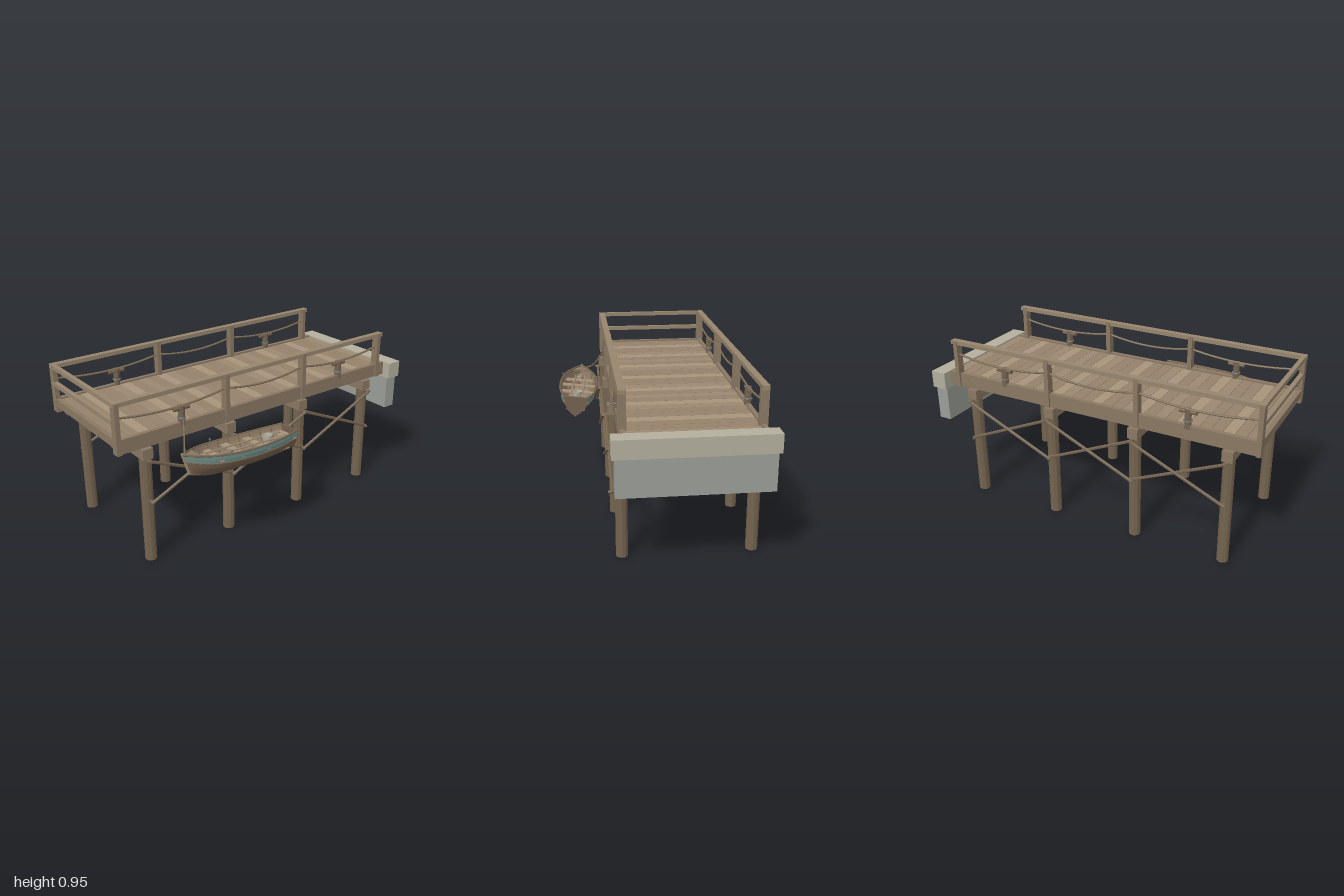
import * as THREE from 'three';

const mat = (color, extra = {}) => {
  const m = new THREE.MeshStandardMaterial({ color, flatShading: true, ...extra });
  return m;
};
const V = (x, y, z) => new THREE.Vector3(x, y, z);
const WOOD = mat(0x8a7863), DARK = mat(0x74634f), RAIL = mat(0x97856d), ROPE = mat(0x7d6c55);
const PLANKS = [0x95816a, 0x9b8770, 0xa6937a].map((c) => mat(c));
const CAP = mat(0xb3ae9c), CONCRETE = mat(0x9a9d97), IRON = mat(0x6b7376);
const TEAL = mat(0x6c8c88, { side: THREE.DoubleSide }), HULL = mat(0x74604e, { side: THREE.DoubleSide });
const INNER = mat(0x8f7a64, { side: THREE.DoubleSide });

function add(parent, name, geo, material, x = 0, y = 0, z = 0) {
  const m = new THREE.Mesh(geo, material);
  m.name = name;
  m.position.set(x, y, z);
  parent.add(m);
  return m;
}
// box given by its lower and upper limits on each axis
function box(parent, name, material, x0, x1, y0, y1, z0, z1) {
  return add(parent, name, new THREE.BoxGeometry(x1 - x0, y1 - y0, z1 - z0), material,
    (x0 + x1) / 2, (y0 + y1) / 2, (z0 + z1) / 2);
}
function rod(parent, name, material, a, b, r, sides = 6) {
  const m = add(parent, name, new THREE.CylinderGeometry(r, r, a.distanceTo(b), sides), material);
  m.position.copy(a).lerp(b, 0.5);
  m.quaternion.setFromUnitVectors(V(0, 1, 0), b.clone().sub(a).normalize());
  return m;
}
function tube(parent, name, material, pts, r, seg = 24) {
  return add(parent, name, new THREE.TubeGeometry(new THREE.CatmullRomCurve3(pts), seg, r, 6), material);
}

const MID = -0.13, HALF = 0.348;
const PILE_Z = [0.835, 0.31, -0.21, -0.735];
const POST_Z = [0.985, 0.32, -0.225, -0.84];

function buildPier(g) {
  // deck planks
  const n = 30, z0 = -0.91, step = 1.88 / n;
  for (let i = 0; i < n; i++) {
    const shade = i % 4 === 3 ? 2 : (i * 7) % 3 === 0 ? 1 : 0;
    box(g, 'deckPlank', PLANKS[shade], -0.466, 0.206, 0.704, 0.74, z0 + i * step, z0 + (i + 1) * step - 0.002);
  }
  box(g, 'frontHeader', WOOD, -0.49, 0.23, 0.704, 0.75, 0.97, 0.995);
  for (const x of [-0.4, MID, 0.135]) box(g, 'stringer', DARK, x - 0.021, x + 0.021, 0.67, 0.704, -0.91, 0.97);

  // pile caps
  for (const z of PILE_Z) box(g, 'pileCap', WOOD, -0.515, 0.255, 0.61, 0.67, z - 0.03, z + 0.03);

  // abutment at the shore end
  box(g, 'abutmentCap', CAP, -0.54, 0.28, 0.65, 0.75, -1, -0.908);
  box(g, 'abutmentWall', CONCRETE, -0.525, 0.265, 0.447, 0.65, -0.988, -0.912);

  for (const s of [-1, 1]) {
    const x = MID + s * HALF, out = (d) => x + s * d;
    const side = new THREE.Group();
    side.name = s > 0 ? 'leftSide' : 'rightSide';
    g.add(side);
    add(side, 'edgeBeam', new THREE.BoxGeometry(0.025, 0.08, 1.9), WOOD, MID + s * 0.3475, 0.71, 0.045);

    // piles with bolts that carry the braces
    for (const z of PILE_Z) {
      add(side, 'pile', new THREE.CylinderGeometry(0.033, 0.033, 0.612, 10), DARK, x, 0.306, z);
      for (const y of [0.605, 0.368]) rod(side, 'braceBolt', DARK, V(x, y, z), V(out(0.066), y, z), 0.008);
    }
    // crossed braces in each bay
    for (let i = 0; i < 3; i++) {
      const a = PILE_Z[i] + 0.01, b = PILE_Z[i + 1] - 0.01;
      rod(side, 'brace', DARK, V(out(0.045), 0.608, a), V(out(0.045), 0.366, b), 0.009);
      rod(side, 'brace', DARK, V(out(0.059), 0.366, a), V(out(0.059), 0.608, b), 0.009);
    }

    // railing posts, top rail and sagging ropes
    POST_Z.forEach((z, i) => {
      box(side, 'railPost', WOOD, x - 0.022, x + 0.022, 0.67, 0.948, z - 0.013, z + 0.013);
      if (!i) return;
      const p = POST_Z[i - 1], pts = [];
      for (let k = 0; k <= 6; k++) {
        const t = k / 6;
        pts.push(V(x, 0.866 - 0.03 * 4 * t * (1 - t), p + (z - p) * t));
      }
      tube(side, 'railRope', ROPE, pts, 0.006, 14);
    });
    box(side, 'topRail', RAIL, x - 0.018, x + 0.018, 0.927, 0.95, -0.87, 1);

    // mooring bollards
    for (const z of [0.605, -0.515]) {
      add(side, 'bollard', new THREE.CylinderGeometry(0.019, 0.019, 0.108, 8), DARK, x, 0.784, z);
      rod(side, 'bollardBar', DARK, V(x, 0.825, z - 0.048), V(x, 0.825, z + 0.048), 0.013, 8);
      add(side, 'bollardBand', new THREE.TorusGeometry(0.02, 0.005, 6, 12).rotateX(Math.PI / 2), IRON, x, 0.773, z);
    }
  }
  // front rails
  for (const y of [0.938, 0.838]) box(g, 'frontRail', RAIL, -0.493, 0.232, y - 0.012, y + 0.012, 0.974, 0.998);
}

// boat outline, t runs from stern (0) to bow (1)
const L = 0.67;
const curve = (vals) => {
  const c = new THREE.CatmullRomCurve3(vals.map((v, i) => V(i, v, 0)));
  return (t) => c.getPoint(t).y;
};
const beam = curve([0.072, 0.098, 0.112, 0.115, 0.106, 0.076, 0.004]);
const sheer = curve([0.138, 0.13, 0.126, 0.126, 0.13, 0.138, 0.15]);
const keel = curve([0.022, 0.008, 0.003, 0.002, 0.004, 0.012, 0.04]);
// cross-section: [share of half beam, share of height]
const SECTION = [[0, 0], [0.2, 0.02], [0.52, 0.2], [0.76, 0.4], [0.9, 0.62], [0.97, 0.8], [1, 1]];
const hullPoint = (t, [u, v], s, inset = 0) => {
  const k = keel(t) + inset, rake = 0.03 * (1 - v) * Math.max(0, (t - 0.7) / 0.3);
  return V(s * Math.max(0, beam(t) * u - inset * u), k + (sheer(t) - k) * v, (t - 0.5) * L - rake);
};
function hullSkin(rows, inset = 0, n = 24) {
  const pos = [], idx = [];
  for (const s of [-1, 1]) {
    const base = pos.length / 3, w = rows.length;
    for (let i = 0; i <= n; i++) for (const r of rows) pos.push(...hullPoint(i / n, r, s, inset).toArray());
    for (let i = 0; i < n; i++) for (let j = 0; j < w - 1; j++) {
      const a = base + i * w + j, b = a + w;
      idx.push(...(s > 0 ? [a, a + 1, b, b, a + 1, b + 1] : [a, b, a + 1, b, b + 1, a + 1]));
    }
  }
  const geo = new THREE.BufferGeometry();
  geo.setAttribute('position', new THREE.Float32BufferAttribute(pos, 3));
  geo.setIndex(idx);
  geo.computeVertexNormals();
  return geo;
}

function buildBoat() {
  const b = new THREE.Group();
  b.name = 'rowingBoat';
  add(b, 'lowerHull', hullSkin(SECTION.slice(0, 5)), HULL);
  add(b, 'upperHull', hullSkin(SECTION.slice(4)), TEAL);
  add(b, 'innerHull', hullSkin(SECTION, 0.006), INNER);

  // transom
  const outline = [...SECTION.map((r) => hullPoint(0, r, 1)), ...SECTION.slice(1).reverse().map((r) => hullPoint(0, r, -1))];
  const shape = new THREE.Shape(outline.map((p) => new THREE.Vector2(p.x, p.y)));
  add(b, 'transom', new THREE.ExtrudeGeometry(shape, { depth: 0.01, bevelEnabled: false }), HULL, 0, 0, -L / 2 - 0.002);

  // gunwales and rubbing strakes
  const run = (row, s, off) => Array.from({ length: 13 }, (_, i) => {
    const p = hullPoint(i / 12, row, s);
    p.x += s * off;
    return p;
  });
  for (const s of [-1, 1]) {
    tube(b, 'gunwale', DARK, run(SECTION[6], s, 0), 0.0065);
    tube(b, 'strake', DARK, run(SECTION[4], s, 0.001), 0.0035);
  }
  // keel and stem
  const line = [0, 0.2, 0.5, 0.8, 1].map((t) => hullPoint(t, [0, 0], 1));
  tube(b, 'keel', HULL, line, 0.008);
  rod(b, 'stem', RAIL, hullPoint(1, [0, 0], 1), V(0, 0.158, L / 2 + 0.002), 0.008);

  // ribs and floorboards
  for (let i = 1; i < 9; i++) for (const s of [-1, 1])
    tube(b, 'rib', DARK, SECTION.map((r) => hullPoint(i / 10, r, s, 0.008)), 0.003, 8);
  for (const x of [-0.042, -0.014, 0.014, 0.042])
    box(b, 'floorBoard', PLANKS[1], x - 0.0125, x + 0.0125, 0.04, 0.046, -0.29, Math.abs(x) > 0.03 ? 0.14 : 0.19);

  // thwarts, stern seat and bow deck
  for (const z of [-0.11, 0.03, 0.15]) {
    const w = beam(z / L + 0.5) * 0.95;
    box(b, 'thwart', PLANKS[2], -w, w, 0.094, 0.104, z - 0.02, z + 0.02);
  }
  box(b, 'sternSeat', PLANKS[2], -0.074, 0.074, 0.094, 0.104, -0.325, -0.265);
  const bow = new THREE.Shape([[-0.055, 0], [0.055, 0], [0.03, 0.045], [0, 0.075], [-0.03, 0.045]].map((p) => new THREE.Vector2(...p)));
  add(b, 'bowDeck', new THREE.ExtrudeGeometry(bow, { depth: 0.008, bevelEnabled: false }).rotateX(Math.PI / 2), WOOD, 0, 0.142, 0.254);

  // oars laid along the thwarts
  for (const s of [-1, 1]) {
    rod(b, 'oarShaft', RAIL, V(s * 0.036, 0.111, -0.22), V(s * 0.03, 0.111, 0.21), 0.0055);
    box(b, 'oarBlade', RAIL, s * 0.036 - 0.014, s * 0.036 + 0.014, 0.108, 0.114, -0.29, -0.2);
    // rowlocks
    const x = s * beam(0.66);
    rod(b, 'rowlockPin', IRON, V(x, 0.12, 0.11), V(x, 0.146, 0.11), 0.004);
    add(b, 'rowlock', new THREE.TorusGeometry(0.009, 0.003, 5, 10, Math.PI).rotateZ(Math.PI), IRON, x, 0.154, 0.11);
  }
  // bucket and coiled line
  const bucket = [[0, 0], [0.022, 0], [0.03, 0.055], [0.026, 0.055], [0.02, 0.006], [0, 0.006]].map((p) => new THREE.Vector2(...p));
  add(b, 'bucket', new THREE.LatheGeometry(bucket, 12), CAP, 0, 0.075, -0.185);
  for (let i = 0; i < 3; i++)
    add(b, 'coiledLine', new THREE.TorusGeometry(0.021 - i * 0.004, 0.006, 6, 14).rotateX(Math.PI / 2), RAIL, 0, 0.1 + i * 0.008, 0.215);
  add(b, 'coilBoard', new THREE.CylinderGeometry(0.03, 0.03, 0.008, 12), WOOD, 0, 0.09, 0.215);
  // mooring ring
  add(b, 'mooringRing', new THREE.TorusGeometry(0.009, 0.003, 6, 12), IRON, 0, 0.15, 0.322);

  b.position.set(0.415, 0.497, 0.376);
  b.rotation.set(0, -0.07, 0.1);
  return b;
}

export function createModel() {
  const model = new THREE.Group();
  model.name = 'pierWithBoat';
  const pier = new THREE.Group();
  pier.name = 'pier';
  buildPier(pier);
  model.add(pier, buildBoat());
  // mooring line from bollard to bow
  tube(model, 'mooringLine', ROPE, [V(0.235, 0.775, 0.605), V(0.265, 0.715, 0.622), V(0.305, 0.664, 0.65),
    V(0.345, 0.642, 0.675), V(0.382, 0.645, 0.698)], 0.005, 30);
  return model;
}
